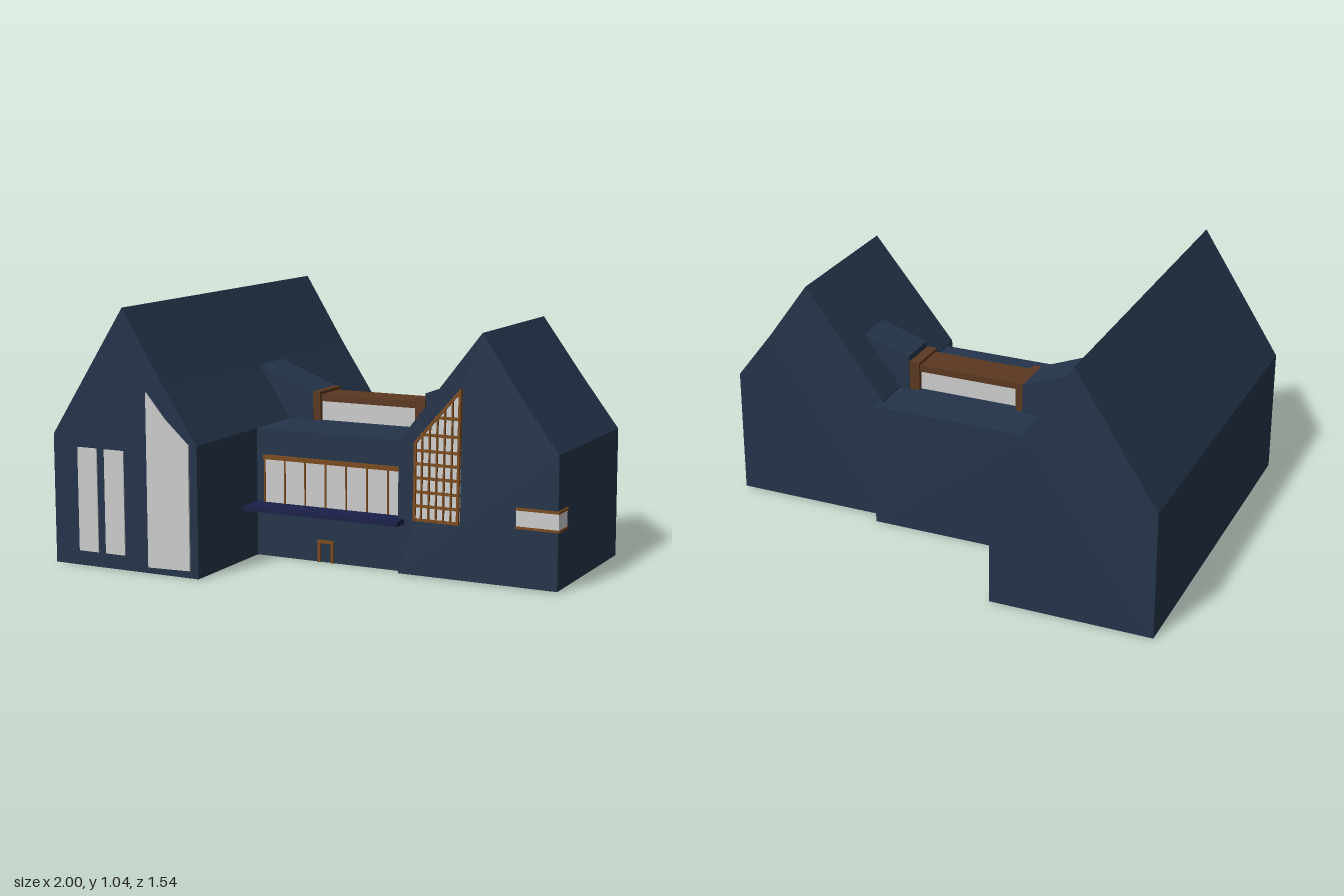
import * as THREE from 'three';

const mat = (color) => new THREE.MeshStandardMaterial({ color, flatShading: true });

export function createModel() {
  const model = new THREE.Group();
  const navy = mat(0x24344a), ledgeBlue = mat(0x1a2048);
  const timber = mat(0x7a4a1c), darkTimber = mat(0x5b3820), glass = mat(0xcccccc);

  const add = (name, geometry, material, parent = model) => {
    const mesh = new THREE.Mesh(geometry, material);
    mesh.name = name;
    parent.add(mesh);
    return mesh;
  };
  const group = (name) => {
    const g = new THREE.Group();
    g.name = name;
    model.add(g);
    return g;
  };
  // Box given by its limits on each axis
  const box = (name, x0, x1, y0, y1, z0, z1, material, parent) => {
    const m = add(name, new THREE.BoxGeometry(x1 - x0, y1 - y0, z1 - z0), material, parent);
    m.position.set((x0 + x1) / 2, (y0 + y1) / 2, (z0 + z1) / 2);
    return m;
  };
  // Outline in x, y extruded from z0 to z1
  const prism = (name, points, z0, z1, material, parent) => {
    const shape = new THREE.Shape(points.map(([x, y]) => new THREE.Vector2(x, y)));
    const geo = new THREE.ExtrudeGeometry(shape, { depth: z1 - z0, bevelEnabled: false });
    return add(name, geo.translate(0, 0, z0), material, parent);
  };

  // Gabled houses
  prism('largeHouse', [[-1, 0], [-0.335, 0], [-0.335, 0.525], [-0.48, 0.745],
    [-0.665, 1.045], [-1, 0.525]], -0.768, 0.765, navy);
  const small = prism('smallHouse', [[0.325, 0.005], [0.99, 0.005], [0.99, 0.53], [0.83, 0.735],
    [0.665, 0.97], [0.325, 0.53]], -0.322, 0.348, navy);
  // Gables of the small house lean in a little towards the ridge
  const p = small.geometry.attributes.position;
  for (let i = 0; i < p.count; i++) {
    if (p.getY(i) > 0.9) p.setZ(i, p.getZ(i) > 0 ? 0.325 : -0.315);
    else if (p.getY(i) > 0.7) p.setZ(i, p.getZ(i) > 0 ? 0.337 : -0.33);
  }
  small.geometry.computeVertexNormals();

  // Flat-roofed link between the houses
  box('link', -0.335, 0.345, 0, 0.525, -0.373, 0.295, navy);
  box('windowLedge', -0.335, 0.35, 0.205, 0.225, 0.29, 0.41, ledgeBlue);

  // Long window in the link
  const linkWindow = group('linkWindow');
  box('linkGlass', -0.3, 0.325, 0.225, 0.405, 0.29, 0.3, glass, linkWindow);
  box('linkWindowHead', -0.3, 0.325, 0.403, 0.42, 0.29, 0.31, timber, linkWindow);
  for (let i = 0; i < 7; i++) {
    const x = -0.296 + i * 0.0925;
    box('linkMullion', x - 0.003, x + 0.003, 0.225, 0.405, 0.295, 0.304, timber, linkWindow);
  }

  // Small door frame
  const door = group('doorFrame');
  for (const x of [-0.055, 0.004]) box('doorPost', x, x + 0.012, 0, 0.09, 0.29, 0.305, timber, door);
  box('doorHead', -0.055, 0.016, 0.079, 0.091, 0.29, 0.306, timber, door);

  // Windows on the large gable
  const gableWindows = group('gableWindows');
  for (const x of [-0.885, -0.76]) {
    box('narrowWindow', x, x + 0.09, 0.06, 0.48, 0.76, 0.77, glass, gableWindows);
  }
  prism('tallWindow', [[-0.56, 0.025], [-0.37, 0.03], [-0.37, 0.525], [-0.475, 0.62],
    [-0.56, 0.72]], 0.76, 0.773, glass, gableWindows);

  // Slanted lattice window on the small gable
  const lattice = group('latticeWindow');
  const x0 = 0.395, x1 = 0.588, yBase = 0.226, zw = 0.345;
  const top = (x) => 0.535 + (x - x0) * 1.15;
  prism('latticeGlass', [[x0, yBase], [x1, yBase], [x1, top(x1)], [x0, top(x0)]],
    zw - 0.03, zw + 0.008, glass, lattice);
  for (let i = 0; i <= 6; i++) {
    const w = i % 6 ? 0.006 : 0.01;
    const x = x0 + (x1 - x0 - w) * i / 6;
    prism('latticePost', [[x, yBase], [x + w, yBase], [x + w, top(x + w)], [x, top(x)]],
      zw - 0.01, zw + 0.017, timber, lattice);
  }
  for (const y of [0.23, 0.285, 0.34, 0.395, 0.45, 0.502, 0.565, 0.635]) {
    const xs = Math.max(x0, x0 + (y - 0.535) / 1.15);
    box('latticeRail', xs, x1, y - 0.005, y + 0.006, zw - 0.01, zw + 0.015, timber, lattice);
  }
  prism('latticeHead', [[x0, top(x0) - 0.016], [x1, top(x1) - 0.016], [x1, top(x1)],
    [x0, top(x0)]], zw - 0.02, zw + 0.018, timber, lattice);
  // The lattice leans back with the gable
  lattice.traverse((m) => {
    if (!m.isMesh) return;
    const a = m.geometry.attributes.position;
    for (let i = 0; i < a.count; i++) {
      const y = a.getY(i) + m.position.y;
      a.setZ(i, a.getZ(i) + 0.005 - 0.036 * Math.max(0, y - yBase));
    }
    m.geometry.computeVertexNormals();
  });

  // Window wrapping the outer corner of the small house
  const corner = group('cornerWindow');
  box('cornerGlass', 0.822, 0.995, 0.243, 0.307, 0.262, 0.354, glass, corner);
  for (const y of [0.234, 0.306]) {
    box('cornerRail', 0.82, 0.998, y, y + 0.01, 0.258, 0.357, timber, corner);
  }

  // Roof lantern on the link
  const lantern = group('roofLantern');
  box('lanternGlass', -0.21, 0.27, 0.52, 0.607, -0.14, -0.008, glass, lantern);
  box('lanternRoof', -0.21, 0.27, 0.605, 0.633, -0.15, 0, darkTimber, lantern);
  box('lanternEnd', -0.23, -0.193, 0.52, 0.645, -0.178, 0.012, darkTimber, lantern);
  box('lanternEnd', 0.24, 0.285, 0.52, 0.645, -0.16, 0.012, darkTimber, lantern);

  // Dormers running from the lantern into each roof
  prism('largeDormer', [[-0.485, 0.52], [-0.226, 0.52], [-0.226, 0.645], [-0.485, 0.745]],
    -0.185, 0.015, navy);
  prism('smallDormer', [[0.283, 0.52], [0.49, 0.52], [0.49, 0.737], [0.283, 0.67]],
    -0.165, 0.005, navy);

  return model;
}
